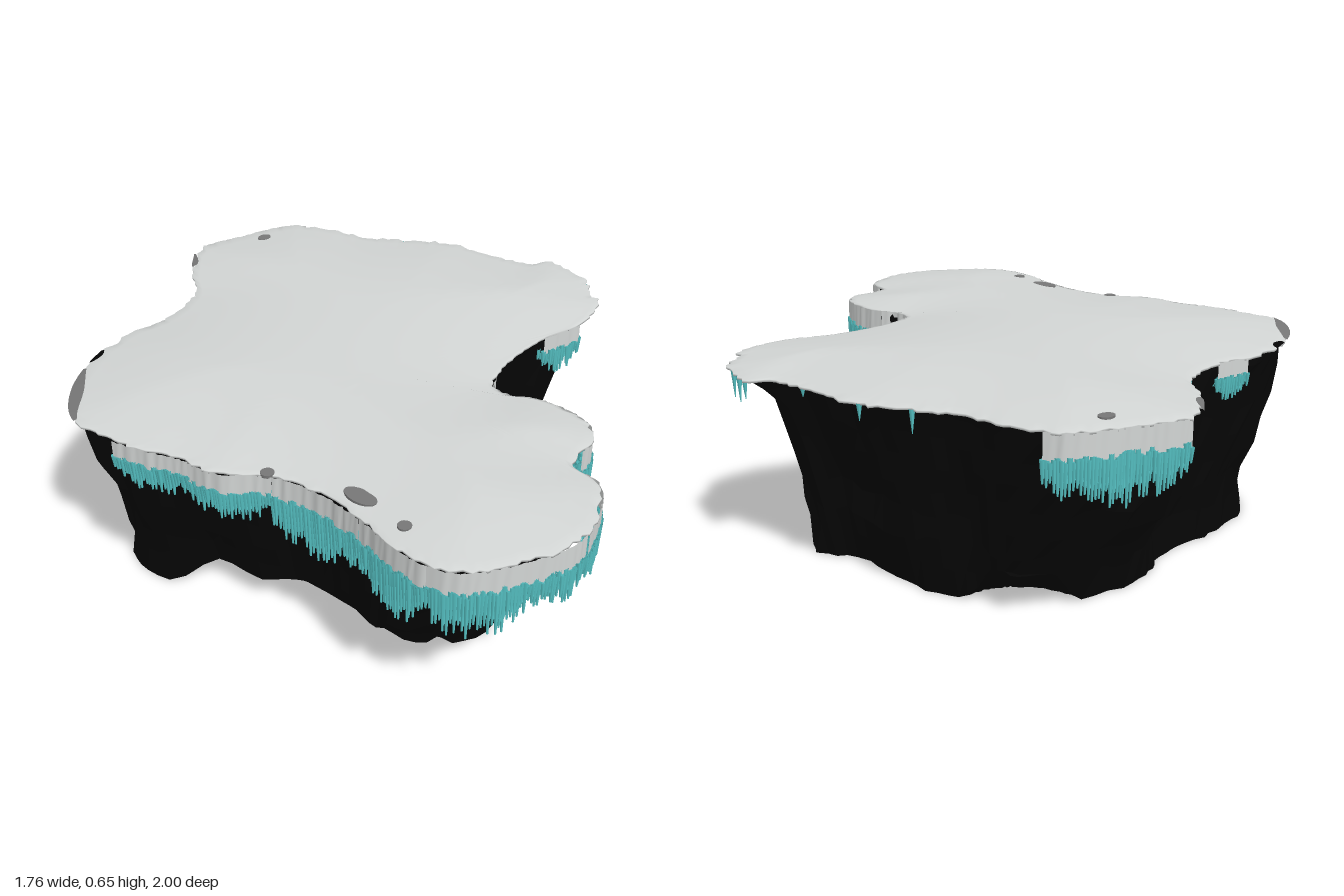
import * as THREE from 'three';
import { mergeGeometries } from 'three/addons/utils/BufferGeometryUtils.js';

// Shoreline as x, z pairs, running back -> right -> front -> left
const OUTLINE = [
  [0.13, -0.985], [0.3, -0.94], [0.48, -0.87], [0.55, -0.73], [0.6, -0.57], [0.68, -0.45], [0.75, -0.33],
  [0.78, -0.13], [0.81, 0], [0.865, 0.03], [0.84, 0.2], [0.76, 0.29], [0.72, 0.34], [0.55, 0.365], [0.4, 0.33],
  [0.2, 0.335], [0.07, 0.38], [0.06, 0.45], [0.1, 0.53], [0.09, 0.7], [0.03, 0.76], [-0.11, 0.79], [-0.14, 0.89],
  [-0.25, 0.96], [-0.38, 0.985], [-0.55, 0.92], [-0.68, 0.82], [-0.705, 0.68], [-0.67, 0.5], [-0.66, 0.35],
  [-0.69, 0.2], [-0.78, 0.07], [-0.8, -0.06], [-0.85, -0.2], [-0.87, -0.42], [-0.77, -0.56], [-0.6, -0.66],
  [-0.45, -0.695], [-0.3, -0.68], [-0.12, -0.74], [-0.03, -0.85], [0.05, -0.93],
];
const CENTRE = new THREE.Vector3(-0.15, 0, 0.1);
const { smoothstep } = THREE.MathUtils;
const toCentre = (p, s) => CENTRE.clone().lerp(p, s);

let seed = 7;
const random = () => (seed = (seed * 16807) % 2147483647) / 2147483647;
const hash = (a, b) => {
  const h = Math.sin(a * 127.1 + b * 311.7) * 43758.5453;
  return h - Math.floor(h);
};

// Skin over rows of equal length; closed rows wrap round
function skin(rows, { closed = false, flat = false } = {}) {
  const n = rows[0].length, position = [], index = [];
  rows.forEach((row) => row.forEach((p) => position.push(p.x, p.y, p.z)));
  for (let j = 0; j < rows.length - 1; j++) {
    for (let i = 0; i < (closed ? n : n - 1); i++) {
      const k = (i + 1) % n;
      const a = j * n + i, b = j * n + k, c = a + n, d = b + n;
      index.push(a, b, d, a, d, c);
    }
  }
  let geometry = new THREE.BufferGeometry();
  geometry.setAttribute('position', new THREE.Float32BufferAttribute(position, 3));
  geometry.setIndex(index);
  if (flat) geometry = geometry.toNonIndexed();
  geometry.computeVertexNormals();
  return geometry;
}

export function createModel() {
  const group = new THREE.Group();
  const material = (name, color, side = THREE.FrontSide) => {
    const m = new THREE.MeshStandardMaterial({ color, side });
    m.name = name;
    return m;
  };
  const snow = material('snow', 0xd2d5d4, THREE.DoubleSide);
  const rock = material('blackRock', 0x060606);
  const ice = material('tealIce', 0x58c6c8, THREE.DoubleSide);
  const stone = material('greyStone', 0x777777);
  const add = (name, geometry, mat) => {
    const mesh = new THREE.Mesh(geometry, mat);
    mesh.name = name;
    group.add(mesh);
  };

  const curve = new THREE.CatmullRomCurve3(OUTLINE.map(([x, z]) => new THREE.Vector3(x, 0, z)), true);
  const sample = (n) => curve.getSpacedPoints(n).slice(0, n);
  const N = 320;
  const shore = sample(N);
  const ragged = shore.map((p) => toCentre(p, 1 + (random() - 0.5) * 0.024));
  // Outward direction across the shoreline
  const outward = (i) => {
    const t = shore[(i + 3) % N].clone().sub(shore[(i + N - 3) % N]);
    return new THREE.Vector3(t.z, 0, -t.x).normalize();
  };

  // Index of the shore point nearest to x, z
  const nearest = (x, z) => {
    let best = 0, least = Infinity;
    shore.forEach((p, i) => {
      const d = (p.x - x) ** 2 + (p.z - z) ** 2;
      if (d < least) [best, least] = [i, d];
    });
    return best;
  };
  // Snow height rises with the distance from the shore
  const snowHeight = (x, z) => {
    const p = shore[nearest(x, z)];
    const d = Math.min(1, Math.hypot(p.x - x, p.z - z) / 0.55);
    return 0.61 + 0.043 * (1 - (1 - d) ** 2);
  };

  // Snow cap: shallow dome with a thin ragged rim
  const capRings = [];
  for (let s = 0; s < 0.97; s += 0.06) {
    capRings.push(shore.map((p) => toCentre(p, s)).map((p) => p.setY(snowHeight(p.x, p.z))));
  }
  [[1, 0.611], [1, 0.604], [0.97, 0.602]].forEach(([s, y]) =>
    capRings.push(ragged.map((p) => toCentre(p, s).setY(y))));
  add('snowCap', skin(capRings, { closed: true }), snow);

  // Rock: shoreline blended into a smaller foot, with chipped facets
  const leftNotch = (x, z) => smoothstep(-x, 0.42, 0.55) * smoothstep(z, -0.26, -0.12);
  const foot = ({ x, z }) => {
    const fx = x * 0.78 - 0.05 + 0.09 * smoothstep(-z, 0.3, 0.9) * smoothstep(x, 0, 0.4);
    const fz = z > 0 ? z * 0.67 : -0.68 * (1 - (1 + Math.max(z, -1)) ** 1.6);
    return new THREE.Vector3(fx + 0.06 * leftNotch(fx, fz), 0, fz);
  };
  const hub = foot(CENTRE);
  // Height of the underside: raised below the front lobe, the left flank and the back right corner
  const lift = (x, z) => Math.max(
    smoothstep(z, 0.43, 0.455) * (0.1 + 0.02 * Math.sin(x * 9) - 0.2 * Math.max(0, z - 0.5)),
    0.1 * leftNotch(x, z),
    0.13 * (1 - smoothstep(Math.hypot(x - 0.46, z + 0.68), 0.1, 0.24)));
  const profile = [[0.606, 0.01], [0.575, 0.22], [0.5, 0.33], [0.42, 0.45], [0.34, 0.58],
    [0.26, 0.7], [0.18, 0.82], [0.1, 0.92], [0, 1]];
  const rockRings = profile.map(([y, t], j) => sample(130).map((p, i) => {
    const chip = (hash(Math.floor((i + (j >> 1)) / 5), j >> 1) - 0.5) * 0.05 + (hash(i, j) - 0.5) * 0.012;
    const bulge = 0.1 * smoothstep(-p.z, 0.6, 0.9) - 0.12 * smoothstep(p.x, 0.5, 0.85);
    const q = p.clone().lerp(foot(p), t - bulge * Math.sin(Math.PI * t));
    q.lerp(hub, j ? chip : 0.012);
    const wobble = j > 0 && j < 8 ? (hash(i >> 1, j + 20) - 0.5) * 0.035 : 0;
    return q.setY(Math.max(y + wobble, lift(q.x, q.z)));
  }));
  // Sole
  const edge = rockRings[rockRings.length - 1];
  for (let s = 0.97; s > 0; s -= s > 0.5 ? 0.03 : 0.249) {
    rockRings.push(edge.map((p) => hub.clone().lerp(p, s)).map((q) => q.setY(lift(q.x, q.z))));
  }
  rockRings.push(edge.map(() => hub.clone()));
  add('rockBase', skin(rockRings, { closed: true, flat: true }), rock);

  // Icicle fringes: start, end (along the shoreline) and greatest drop
  const fringes = [
    [[0.14, -0.985], [0.52, -0.82], 0.22],
    [[0.57, 0.36], [0.42, 0.335], 0.15],
    [[0.12, 0.35], [0.08, 0.5], 0.25],
    [[0.08, 0.5], [-0.05, 0.78], 0.28],
    [[-0.13, 0.83], [-0.34, 0.98], 0.21],
    [[-0.34, 0.98], [-0.52, 0.93], 0.2],
    [[-0.52, 0.93], [-0.7, 0.75], 0.24],
    [[-0.7, 0.75], [-0.67, 0.5], 0.25],
    [[-0.67, 0.5], [-0.69, 0.2], 0.25],
    [[-0.69, 0.2], [-0.8, -0.02], 0.17],
    [[-0.8, -0.02], [-0.86, -0.26], 0.15],
    [[-0.42, -0.69], [-0.3, -0.68], 0.13],
  ];
  const lipParts = [], iceParts = [];
  fringes.forEach(([start, end, drop]) => {
    const from = nearest(...start), count = 2 * ((nearest(...end) - from + N) % N);
    const top = [], lip = [], sheet = [];
    for (let k = 0; k <= count; k++) {
      const i = (from + (k >> 1)) % N, next = (from + ((k + 1) >> 1)) % N;
      const out = outward(i);
      const p = shore[i].clone().lerp(shore[next], 0.5).addScaledVector(out, 0.006 + (random() - 0.5) * 0.006);
      const swell = 0.72 + 0.28 * Math.sin((Math.PI * k) / count);
      const lipY = 0.61 - Math.min(0.07, drop * 0.36) * (0.85 + 0.3 * random());
      const length = Math.max(0.04, drop * swell * (0.72 + 0.28 * random()) - (0.61 - lipY));
      top.push(p.clone().setY(0.61));
      lip.push(p.clone().setY(lipY));
      sheet.push(p.clone().setY(lipY - length * (0.5 + 0.35 * random())));
      // pointed icicle hanging from the lip, and a shorter one behind it
      [[1, 0.002], [0.75, 0.025]].forEach(([share, inset]) => {
        const spike = new THREE.CylinderGeometry(0.009, 0.003, length * share, 5, 1, true);
        const q = p.clone().addScaledVector(out, -inset);
        iceParts.push(spike.rotateY(random() * 3).translate(q.x, lipY - (length * share) / 2, q.z));
      });
    }
    lipParts.push(skin([top, lip]));
    iceParts.push(skin([lip, sheet]));
  });
  // Lone icicles along the right and back edges
  [[0.83, 0.23, 0.09], [0.85, 0.15, 0.08], [0.86, 0.1, 0.08], [0.865, 0.07, 0.06], [0.78, -0.1, 0.03],
    [0.74, -0.34, 0.05], [0.66, -0.48, 0.07], [-0.1, -0.76, 0.06]].forEach(([x, z, drop]) => {
    const p = toCentre(shore[nearest(x, z)], 0.99);
    const spike = new THREE.CylinderGeometry(0.009, 0.001, drop, 5, 1, true);
    iceParts.push(spike.translate(p.x, 0.608 - drop / 2, p.z));
  });
  add('snowFringe', mergeGeometries(lipParts), snow);
  iceParts.forEach((g) => g.deleteAttribute('uv'));
  add('icicles', mergeGeometries(iceParts), ice);

  // Bare stone patches showing through the snow
  [[0.33, -0.86, 0.026, 0.02], [-0.61, 0.45, 0.028, 0.055], [-0.63, 0.62, 0.02, 0.02],
    [-0.69, 0.18, 0.02, 0.02]].forEach(([x, z, rx, rz]) => {
    const patch = new THREE.CylinderGeometry(1, 1, 0.009, 16).scale(rx, 1, rz);
    add('stonePatch', patch.translate(x, snowHeight(x, z) - 0.001, z), stone);
  });

  // Bare ledges at the back edge, lying flat on the rim
  [[[-0.87, -0.42], [-0.68, -0.62], 0.035, stone], [[-0.63, -0.645], [-0.57, -0.67], 0.015, rock],
    [[0, -0.89], [0.08, -0.95], 0.025, stone]].forEach(([a, b, width, mat]) => {
    const from = nearest(...a), count = (nearest(...b) - from + N) % N;
    const inner = [], outer = [];
    for (let k = 0; k <= count; k++) {
      const p = shore[(from + k) % N];
      const q = toCentre(p, 1 - width * Math.sin((Math.PI * k) / count));
      inner.push(q.setY(snowHeight(q.x, q.z) + 0.006));
      outer.push(toCentre(p, 1.012).setY(0.612));
    }
    add('bareLedge', skin([inner, outer]), mat);
  });

  return group;
}
